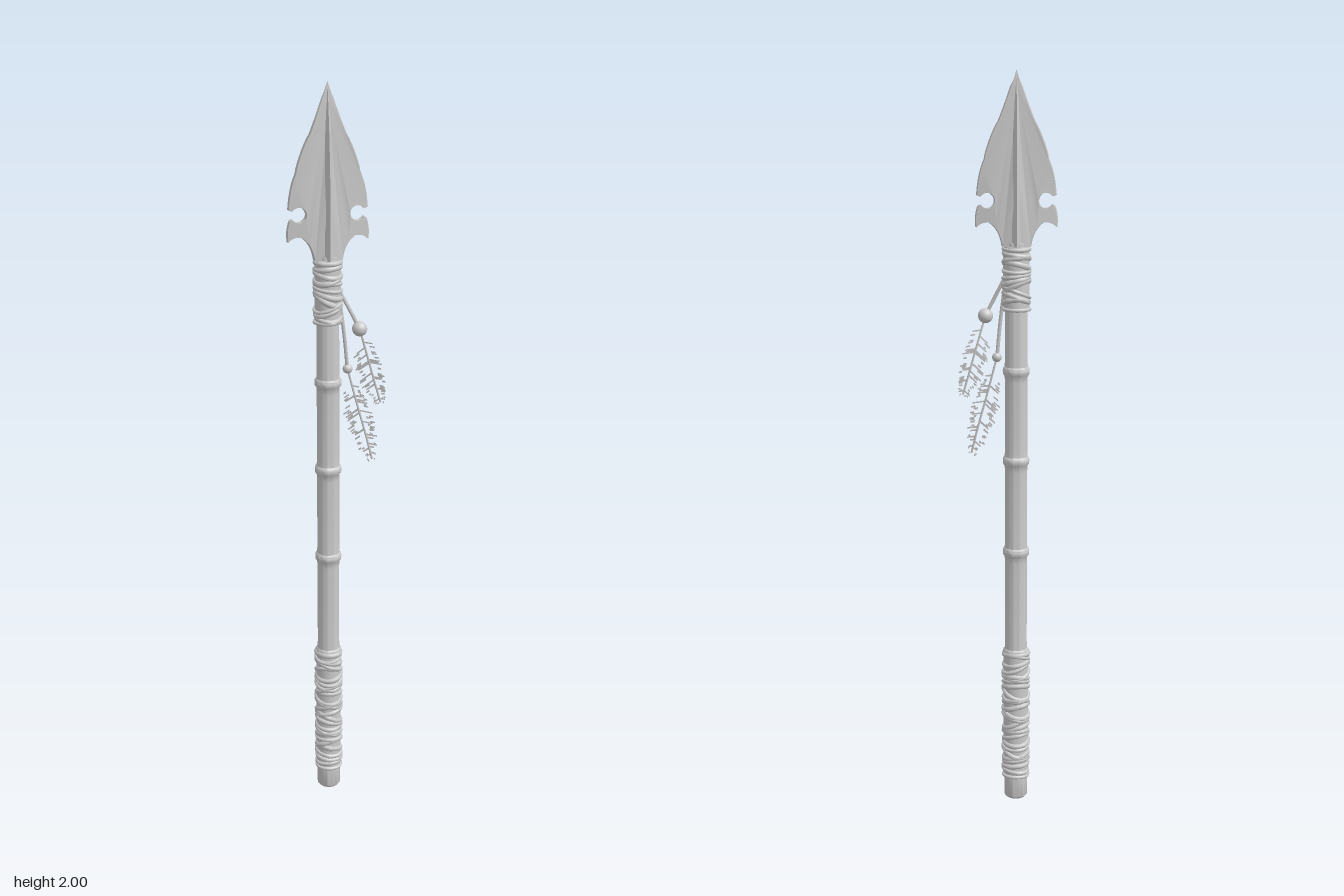
import * as THREE from 'three';
import { toCreasedNormals } from 'three/addons/utils/BufferGeometryUtils.js';

const AXIS = -0.026; // x of the shaft centre line
const grey = new THREE.MeshStandardMaterial({ color: 0xcccccc });
const thin = new THREE.MeshStandardMaterial({ color: 0xcccccc, side: THREE.DoubleSide });
const V = (x, y, z) => new THREE.Vector3(x, y, z);

function seeded(seed) {
  return () => (seed = (seed * 16807) % 2147483647) / 2147483647;
}

function add(parent, name, geometry, material = grey) {
  const mesh = new THREE.Mesh(geometry, material);
  mesh.name = name;
  parent.add(mesh);
  return mesh;
}

// Bamboo pole: slightly swollen ridges at the joints
function makeShaft() {
  const profile = [[0, 0], [0.027, 0], [0.032, 0.006], [0.032, 0.06]];
  for (const y of [0.43, 0.72, 0.975, 1.22]) {
    profile.push([0.03, y - 0.03], [0.031, y - 0.014], [0.035, y - 0.009], [0.036, y],
      [0.035, y + 0.007], [0.031, y + 0.011], [0.03, y + 0.03]);
  }
  profile.push([0.029, 1.5], [0.026, 1.56], [0, 1.565]);
  const lathe = new THREE.LatheGeometry(profile.map(p => new THREE.Vector2(...p)), 32);
  return toCreasedNormals(lathe, 0.7);
}

// Cord binding: a sleeve covered by tilted, uneven loops
function makeBinding(name, y0, y1, count, seed) {
  const group = new THREE.Group();
  group.name = name;
  const rand = seeded(seed);
  const sleeve = add(group, 'bindingSleeve', new THREE.CylinderGeometry(0.0345, 0.0345, y1 - y0, 28));
  sleeve.position.y = (y0 + y1) / 2;
  for (let i = 0; i < count; i++) {
    const cord = 0.005 + rand() * 0.004;
    const tilt = i === 0 || i === count - 1 ? 0.002 : 0.003 + rand() * 0.015;
    const phase = rand() * Math.PI * 2;
    const mid = y0 + cord + (y1 - y0 - 2 * cord) * i / (count - 1);
    const points = [];
    for (let k = 0; k < 14; k++) {
      const a = k / 14 * Math.PI * 2;
      const r = 0.0395 - cord + (rand() - 0.5) * 0.002;
      const y = THREE.MathUtils.clamp(mid + tilt * Math.sin(a + phase), y0 + cord, y1 - cord);
      points.push(V(r * Math.cos(a), y, r * Math.sin(a)));
    }
    add(group, 'bindingCord', new THREE.TubeGeometry(new THREE.CatmullRomCurve3(points, true), 40, cord, 8, true));
  }
  return group;
}

// Half of the blade: an outline with a round notch and a barb, thinning to the edge
function makeWing(side) {
  const s = new THREE.Shape();
  s.moveTo(0, 1.55);
  s.lineTo(0.036, 1.55);
  s.quadraticCurveTo(0.042, 1.595, 0.07, 1.612);
  s.quadraticCurveTo(0.09, 1.615, 0.104, 1.6);
  s.quadraticCurveTo(0.108, 1.63, 0.099, 1.655);
  s.absarc(0.076, 1.669, 0.02, -0.55, 0.55, true);
  s.lineTo(0.102, 1.683);
  s.quadraticCurveTo(0.098, 1.74, 0.082, 1.775);
  s.lineTo(0.08, 1.787);
  s.quadraticCurveTo(0.065, 1.84, 0.045, 1.873);
  s.quadraticCurveTo(0.022, 1.93, 0, 2);
  for (let y = 1.95; y > 1.56; y -= 0.05) s.lineTo(0, y);
  const geo = new THREE.ExtrudeGeometry(s, { depth: 2, steps: 2, bevelEnabled: false, curveSegments: 10 });
  const p = geo.attributes.position;
  for (let i = 0; i < p.count; i++) {
    const x = p.getX(i), y = p.getY(i), layer = p.getZ(i) - 1;
    const half = (0.021 - 0.14 * x) * Math.min(1, 0.06 + (2 - y) / 0.28);
    // The middle layer stands out a little to round the rim
    const out = layer === 0 && x > 0.01 ? 0.003 : 0;
    p.setXYZ(i, side * (x + out), y, layer * half);
  }
  if (side < 0) { // mirrored: restore the winding
    for (let i = 0; i < p.count; i += 3) {
      const a = V().fromBufferAttribute(p, i), b = V().fromBufferAttribute(p, i + 1);
      p.setXYZ(i, b.x, b.y, b.z);
      p.setXYZ(i + 1, a.x, a.y, a.z);
    }
  }
  return toCreasedNormals(geo, 0.8);
}

// Raised central rib: diamond sections [y, half width, half depth]
function makeRib() {
  const rows = [[1.535, 0.03, 0.03], [1.57, 0.027, 0.034], [1.65, 0.021, 0.034], [1.75, 0.018, 0.032],
    [1.85, 0.013, 0.024], [1.93, 0.008, 0.013], [2, 0.0005, 0.0005]];
  const pos = [], index = [];
  rows.forEach(([y, w, d], r) => {
    pos.push(w, y, 0, 0, y, d, -w, y, 0, 0, y, -d);
    if (!r) return;
    for (let k = 0; k < 4; k++) {
      const a = (r - 1) * 4 + k, b = (r - 1) * 4 + (k + 1) % 4;
      index.push(a, a + 4, b, b, a + 4, b + 4);
    }
  });
  const geo = new THREE.BufferGeometry();
  geo.setAttribute('position', new THREE.Float32BufferAttribute(pos, 3));
  geo.setIndex(index);
  return toCreasedNormals(geo, 0.5);
}

// Tattered feather: a quill with loose, broken scraps of vane on both sides
function makeFeather(name, points, width, seed) {
  const group = new THREE.Group();
  group.name = name;
  const rand = seeded(seed);
  const curve = new THREE.CatmullRomCurve3(points);
  add(group, 'quill', new THREE.TubeGeometry(curve, 16, 0.003, 6));
  const pos = [];
  const count = 44;
  for (let i = 0; i < count; i++) {
    const t = 0.14 + 0.86 * i / count;
    const along = curve.getTangent(t);
    const across = V(-along.y, along.x, 0).normalize();
    for (const side of [-1, 1]) {
      if (rand() < 0.4) continue;
      const span = side > 0 ? width * 0.75 : width;
      const reach = span * Math.sin(Math.PI * (0.15 + t * 0.77)) * (0.6 + 0.4 * rand());
      const start = reach * (rand() < 0.35 ? 0 : 0.45 + 0.3 * rand());
      const curl = side * 0.015 + (rand() - 0.5) * 0.006;
      const at = (d, slip) => curve.getPoint(t).addScaledVector(across, side * d)
        .addScaledVector(along, d * 0.5 + slip).add(V(0, 0, curl * d / width)).toArray();
      const a = at(start, 0), b = at(reach, 0), c = at(reach, 0.004), d = at(start, 0.004 + rand() * 0.003);
      pos.push(...a, ...b, ...c, ...a, ...c, ...d);
    }
  }
  const vane = new THREE.BufferGeometry();
  vane.setAttribute('position', new THREE.Float32BufferAttribute(pos, 3));
  vane.computeVertexNormals();
  add(group, 'vane', vane, thin);
  return group;
}

// Hanging ornament: cord, bead and feather
function makePendant(name, cordPoints, beadRadius, featherPoints, width, seed) {
  const group = new THREE.Group();
  group.name = name;
  const bead = cordPoints[cordPoints.length - 1];
  add(group, 'pendantCord', new THREE.TubeGeometry(new THREE.CatmullRomCurve3(cordPoints), 16, 0.005, 7));
  add(group, 'bead', new THREE.SphereGeometry(beadRadius, 20, 14)).position.copy(bead);
  group.add(makeFeather('feather', [bead, ...featherPoints], width, seed));
  return group;
}

export function createModel() {
  const model = new THREE.Group();
  model.name = 'spear';

  const pole = new THREE.Group();
  pole.name = 'pole';
  pole.position.x = AXIS;
  add(pole, 'shaft', makeShaft());
  pole.add(makeBinding('gripBinding', 0.06, 0.435, 26, 11));
  pole.add(makeBinding('headBinding', 1.38, 1.55, 12, 77));

  const blade = new THREE.Group();
  blade.name = 'blade';
  add(blade, 'leftWing', makeWing(1));
  add(blade, 'rightWing', makeWing(-1));
  add(blade, 'rib', makeRib());
  pole.add(blade);
  model.add(pole);

  model.add(makePendant('upperPendant', [V(0.005, 1.465, 0.008), V(0.03, 1.415, 0.016), V(0.055, 1.365, 0.018)], 0.02,
    [V(0.08, 1.28, 0.01), V(0.1, 1.21, 0.006), V(0.116, 1.155, 0.006)], 0.042, 5));
  model.add(makePendant('lowerPendant', [V(0.005, 1.44, 0.004), V(0.016, 1.35, 0.008), V(0.025, 1.255, 0.008)], 0.013,
    [V(0.05, 1.16, 0.007), V(0.075, 1.07, 0.006), V(0.094, 0.995, 0.006)], 0.042, 23));
  return model;
}
